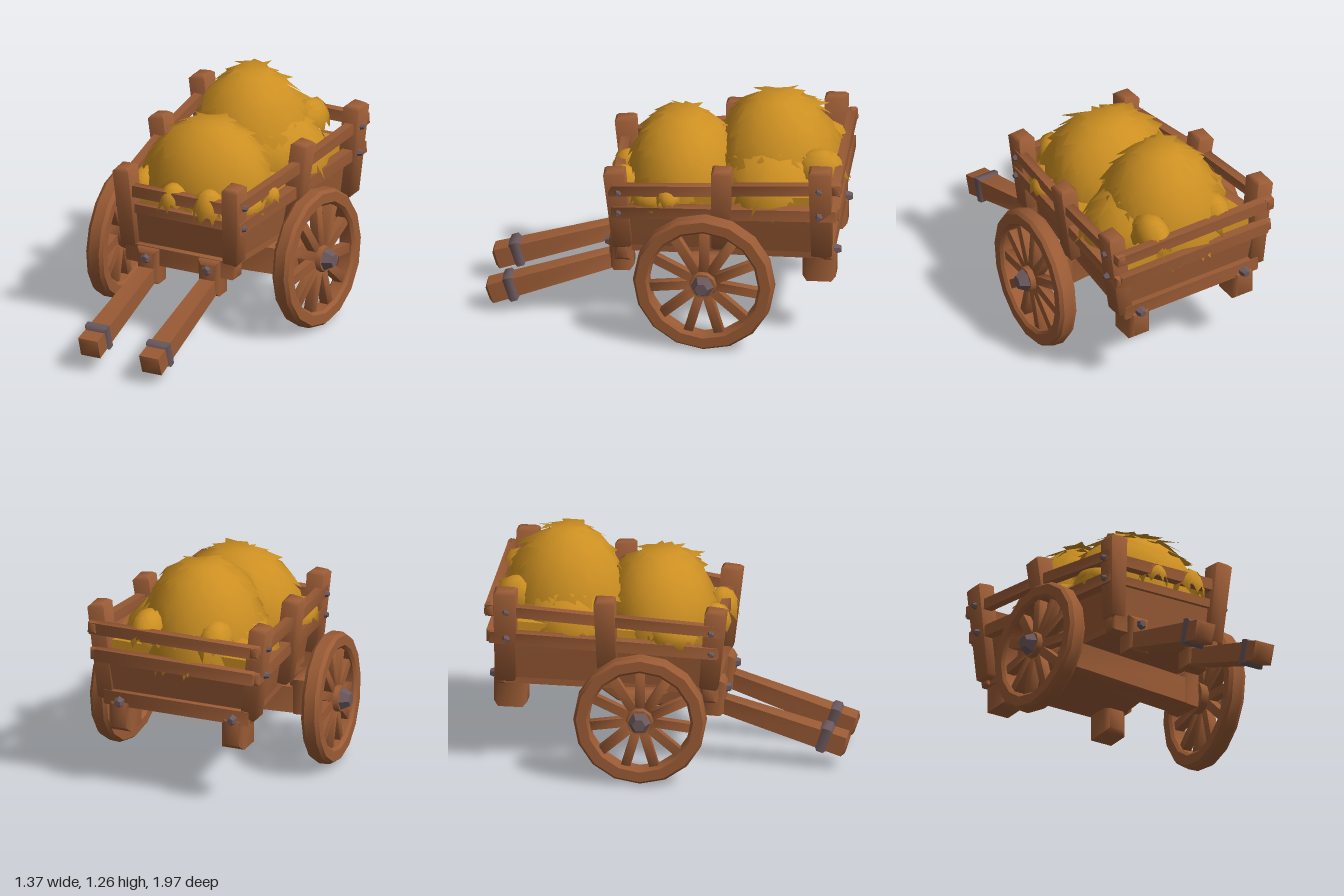
import * as THREE from 'three';
import { toCreasedNormals } from 'three/addons/utils/BufferGeometryUtils.js';
import { ConvexGeometry } from 'three/addons/geometries/ConvexGeometry.js';

const wood = new THREE.MeshStandardMaterial({ color: 0x9a5b35 });
wood.name = 'wood';
const metal = new THREE.MeshStandardMaterial({ color: 0x6b585c });
metal.name = 'iron';
const hay = new THREE.MeshStandardMaterial({ color: 0xcc8f22, side: THREE.DoubleSide });
hay.name = 'hay';

const V = (x, y, z) => new THREE.Vector3(x, y, z);
let seed = 7;
const rnd = () => (seed = (seed * 16807) % 2147483647) / 2147483647;

function add(parent, geo, mat, name) {
  const mesh = new THREE.Mesh(geo, mat);
  mesh.name = name;
  parent.add(mesh);
  return mesh;
}

// Chamfered timber from a to b; w is its width, h its height, t scales the far end
function beam(parent, name, a, b, w, h, t = 1, up = V(0, 1, 0), mat = wood) {
  const c = Math.min(w, h) * 0.18, x = w / 2 - c, y = h / 2 - c, len = a.distanceTo(b);
  const shape = new THREE.Shape([[-x, -y], [x, -y], [x, y], [-x, y]].map(p => new THREE.Vector2(...p)));
  const geo = new THREE.ExtrudeGeometry(shape, {
    depth: len - 2 * c, bevelEnabled: true, bevelSize: c, bevelThickness: c, bevelSegments: 1,
  });
  geo.translate(0, 0, c);
  const p = geo.attributes.position;
  for (let i = 0; i < p.count; i++) {
    const s = 1 + (t - 1) * p.getZ(i) / len;
    p.setXY(i, p.getX(i) * s, p.getY(i) * s);
  }
  const ez = b.clone().sub(a).normalize(), ex = up.clone().cross(ez).normalize();
  geo.applyMatrix4(new THREE.Matrix4().makeBasis(ex, ez.clone().cross(ex), ez).setPosition(a));
  return add(parent, toCreasedNormals(geo, 0.9), mat, name);
}

// Board between four corners, thickened along d
function slab(parent, name, corners, d, mat = wood) {
  const geo = new ConvexGeometry([...corners, ...corners.map(c => c.clone().add(d))]);
  return add(parent, toCreasedNormals(geo, 0.3), mat, name);
}

function bolt(parent, pos, dir, r = 0.03) {
  const m = add(parent, toCreasedNormals(new THREE.CylinderGeometry(r * 0.55, r, r * 1.2, 6), 0.3), metal, 'bolt');
  m.position.copy(pos);
  m.quaternion.setFromUnitVectors(V(0, 1, 0), dir);
}

function wheel(side, R, y, z) {
  const g = new THREE.Group();
  g.name = side > 0 ? 'leftWheel' : 'rightWheel';
  // rim
  const profile = [[R - 0.015, -0.05], [R, -0.03], [R, 0.03], [R - 0.015, 0.05], [R - 0.07, 0.05],
    [R - 0.085, 0.035], [R - 0.085, -0.035], [R - 0.07, -0.05], [R - 0.015, -0.05]];
  const rim = new THREE.LatheGeometry(profile.map(p => new THREE.Vector2(...p)), 16).rotateZ(-Math.PI / 2);
  add(g, toCreasedNormals(rim, 0.5), wood, 'rim');
  // spokes
  for (let i = 0; i < 11; i++) {
    const a = i / 11 * Math.PI * 2, c = Math.cos(a), s = Math.sin(a);
    beam(g, 'spoke', V(0.01, c * 0.05, s * 0.05), V(0, c * (R - 0.07), s * (R - 0.07)), 0.05, 0.05, 1, V(1, 0, 0));
  }
  // hub and iron cap
  add(g, toCreasedNormals(new THREE.CylinderGeometry(0.07, 0.09, 0.13, 10).rotateZ(-Math.PI / 2), 0.7), wood, 'hub');
  const cap = add(g, toCreasedNormals(new THREE.CylinderGeometry(0.036, 0.066, 0.055, 6).rotateZ(-Math.PI / 2), 0.3), metal, 'hubCap');
  cap.position.x = 0.088;
  g.position.set(side * 0.565, y, z);
  g.rotation.set(0, side > 0 ? -0.065 : Math.PI + 0.065, 0.03);
  return g;
}

// Dome of straw: a core plus overlapping rings of ragged blades, shaded as one soft heap
function mound(parent, name, c, r, n, layers) {
  const pos = [], nor = [], idx = [];
  const point = (t, a, k) => {
    const q = k * (1 + 0.04 * Math.sin(3 * a + c.z * 9) * Math.sin(t) + 0.03 * Math.sin(5 * a + 4 * t) * Math.sin(t));
    const s = Math.sin(Math.min(t, 1.57));
    const d = V(s * Math.cos(a), Math.cos(t), s * Math.sin(a));
    pos.push(...d.clone().multiplyScalar(q).multiply(r).add(c));
    nor.push(...d.divide(r).normalize());
    return pos.length / 3 - 1;
  };
  const step = 1.5 / layers;
  for (let k = 0; k < layers; k++) {
    const t0 = k * step, m = Math.round(n * (0.35 + 0.65 * Math.sin(t0 + step)));
    const A = [], B = [];
    for (let j = 0; j < m; j++) {
      const a = (j + 0.5 * (k % 2) + 0.4 * rnd()) / m * Math.PI * 2;
      A.push(point(t0, a, 0.96));
      B.push(point(t0 + step * (0.85 + 0.35 * rnd()), a, 0.99 + 0.03 * rnd()));
    }
    for (let j = 0; j < m; j++) {
      const i = (j + 1) % m;
      idx.push(A[j], A[i], B[j], A[i], B[i], B[j]);
      // one long blade per gap, sometimes a second loose one
      const a = (j + 0.6 + 0.5 * (k % 2)) / m * Math.PI * 2;
      const tip = point(t0 + step * (1.35 + 0.6 * rnd()), a + (rnd() - 0.5) * 0.25, 1.02 + 0.05 * rnd());
      idx.push(B[j], B[i], tip);
      if (k > 0 && rnd() < 0.3) {
        const loose = point(t0 + step * (1.3 + 0.4 * rnd()), a + (rnd() - 0.5) * 0.5, 1.06 + 0.07 * rnd());
        idx.push(A[j], B[i], loose);
      }
    }
  }
  const geo = new THREE.BufferGeometry();
  geo.setAttribute('position', new THREE.Float32BufferAttribute(pos, 3));
  geo.setAttribute('normal', new THREE.Float32BufferAttribute(nor, 3));
  geo.setIndex(idx);
  add(parent, geo, hay, name);
  const core = add(parent, new THREE.SphereGeometry(0.94, 20, 8, 0, Math.PI * 2, 0, 1.57), hay, name + 'Core');
  core.scale.copy(r);
  core.position.copy(c);
}

export function createModel() {
  const cart = new THREE.Group();
  cart.name = 'hayCart';
  cart.add(wheel(1, 0.385, 0.382, -0.215), wheel(-1, 0.36, 0.362, -0.09));

  // Axle
  beam(cart, 'axle', V(-0.4, 0.355, -0.11), V(0.4, 0.355, -0.19), 0.15, 0.15);
  beam(cart, 'axlePin', V(-0.55, 0.365, -0.09), V(0.55, 0.385, -0.215), 0.09, 0.09);
  for (const s of [-1, 1])
    beam(cart, 'axleBlock', V(s * 0.35, 0.375, -0.15 - s * 0.04), V(s * 0.48, 0.375, -0.15 - s * 0.055), 0.17, 0.2);

  // Bed: floor, side boards, end boards
  const f = s => V(s * 0.28, 0.45, 0.25), b = s => V(s * 0.41, 0.51, -0.86);
  const F = s => V(s * 0.32, 0.70, 0.28), B = s => V(s * 0.45, 0.77, -0.9);
  slab(cart, 'floor', [f(-1), f(1), b(1), b(-1)], V(0, -0.035, 0));
  slab(cart, 'frontBoard', [f(-1), f(1), F(1), F(-1)], V(0, 0, -0.04));
  slab(cart, 'backBoard', [b(-1), b(1), B(1), B(-1)], V(0, 0, 0.04));
  for (const s of [-1, 1]) slab(cart, 'sideBoard', [f(s), b(s), B(s), F(s)], V(-s * 0.04, 0, 0));
  beam(cart, 'frontSill', V(-0.34, 0.43, 0.25), V(0.34, 0.43, 0.25), 0.09, 0.1);
  beam(cart, 'backSill', V(-0.43, 0.515, -0.87), V(0.43, 0.515, -0.87), 0.06, 0.08);

  // Posts and side rails
  const Z = V(0, 0, 1);
  for (const s of [-1, 1]) {
    beam(cart, 'frontPost', V(s * 0.31, 0.46, 0.25), V(s * 0.335, 0.925, 0.295), 0.085, 0.1, 1.15, Z);
    beam(cart, 'middlePost', V(s * 0.37, 0.50, -0.29), V(s * 0.44, 1.0, -0.3), 0.085, 0.1, 1.12, Z);
    beam(cart, 'backPost', V(s * 0.415, 0.50, -0.84), V(s * 0.475, 1.04, -0.835), 0.085, 0.11, 1.12, Z);
    beam(cart, 'upperRail', V(s * 0.35, 0.805, 0.33), V(s * 0.43, 0.87, -0.3), 0.05, 0.06);
    beam(cart, 'upperRail', V(s * 0.43, 0.87, -0.28), V(s * 0.475, 0.925, -0.95), 0.05, 0.06);
    beam(cart, 'lowerRail', V(s * 0.345, 0.68, 0.31), V(s * 0.465, 0.765, -0.93), 0.06, 0.065);
    bolt(cart, V(s * 0.39, 0.8, 0.27), V(s, 0, 0), 0.022);
    bolt(cart, V(s * 0.385, 0.68, 0.27), V(s, 0, 0), 0.022);
    bolt(cart, V(s * 0.515, 0.915, -0.83), V(s, 0, 0), 0.022);
    bolt(cart, V(s * 0.505, 0.76, -0.83), V(s, 0, 0), 0.022);
    // Rear feet
    beam(cart, 'rearFoot', V(s * 0.33, 0.42, -0.73), V(s * 0.33, 0.42, -0.91), 0.13, 0.18);
    bolt(cart, V(s * 0.33, 0.5, -0.915), V(0, 0, -1), 0.035);
  }
  // End rails
  beam(cart, 'frontUpperRail', V(-0.36, 0.79, 0.29), V(0.36, 0.79, 0.29), 0.05, 0.065);
  beam(cart, 'frontLowerRail', V(-0.33, 0.685, 0.27), V(0.33, 0.685, 0.27), 0.05, 0.05);
  beam(cart, 'backUpperRail', V(-0.5, 0.92, -0.92), V(0.5, 0.92, -0.92), 0.05, 0.065);
  beam(cart, 'backLowerRail', V(-0.47, 0.765, -0.915), V(0.47, 0.765, -0.915), 0.05, 0.07);

  // Pulling shafts with iron bands
  for (const s of [-1, 1]) {
    const x = s * 0.187, d = s > 0 ? -0.018 : 0.012;
    beam(cart, 'shaftBlock', V(x, 0.38, 0.2), V(x, 0.375, 0.33), 0.125, 0.2);
    beam(cart, 'shaft', V(x, 0.34, 0.28), V(x, 0.112 + d, 0.99), 0.09, 0.085, 1.32);
    beam(cart, 'shaftBand', V(x, 0.165 + d, 0.825), V(x, 0.139 + d, 0.905), 0.132, 0.138, 1, V(0, 1, 0), metal);
    bolt(cart, V(x, 0.425, 0.335), Z, 0.036);
  }

  // Hay
  slab(cart, 'hayBed', [V(-0.28, 0.74, 0.23), V(0.28, 0.74, 0.23), V(0.4, 0.83, -0.84), V(-0.4, 0.83, -0.84)], V(0, -0.15, 0), hay);
  mound(cart, 'frontHay', V(0, 0.74, -0.05), V(0.36, 0.4, 0.31), 20, 5);
  mound(cart, 'backHay', V(-0.02, 0.77, -0.56), V(0.34, 0.49, 0.35), 20, 5);
  mound(cart, 'backHaySkirt', V(0, 0.77, -0.55), V(0.42, 0.3, 0.33), 22, 4);
  // Loose tufts hanging over the rails
  for (const [x, y, z, a, h, c] of [[0.16, 0.75, 0.26, 0.09, 0.12, 0.09], [-0.06, 0.76, 0.25, 0.08, 0.1, 0.09],
    [0.38, 0.78, 0, 0.07, 0.07, 0.065], [-0.32, 0.75, 0.06, 0.09, 0.1, 0.14], [0.3, 0.74, 0.08, 0.09, 0.09, 0.13],
    [0.2, 0.9, -0.81, 0.1, 0.13, 0.14], [-0.19, 0.89, -0.8, 0.1, 0.13, 0.13]])
    mound(cart, 'hayTuft', V(x, y, z), V(a, h, c), 9, 2);

  return cart;
}
